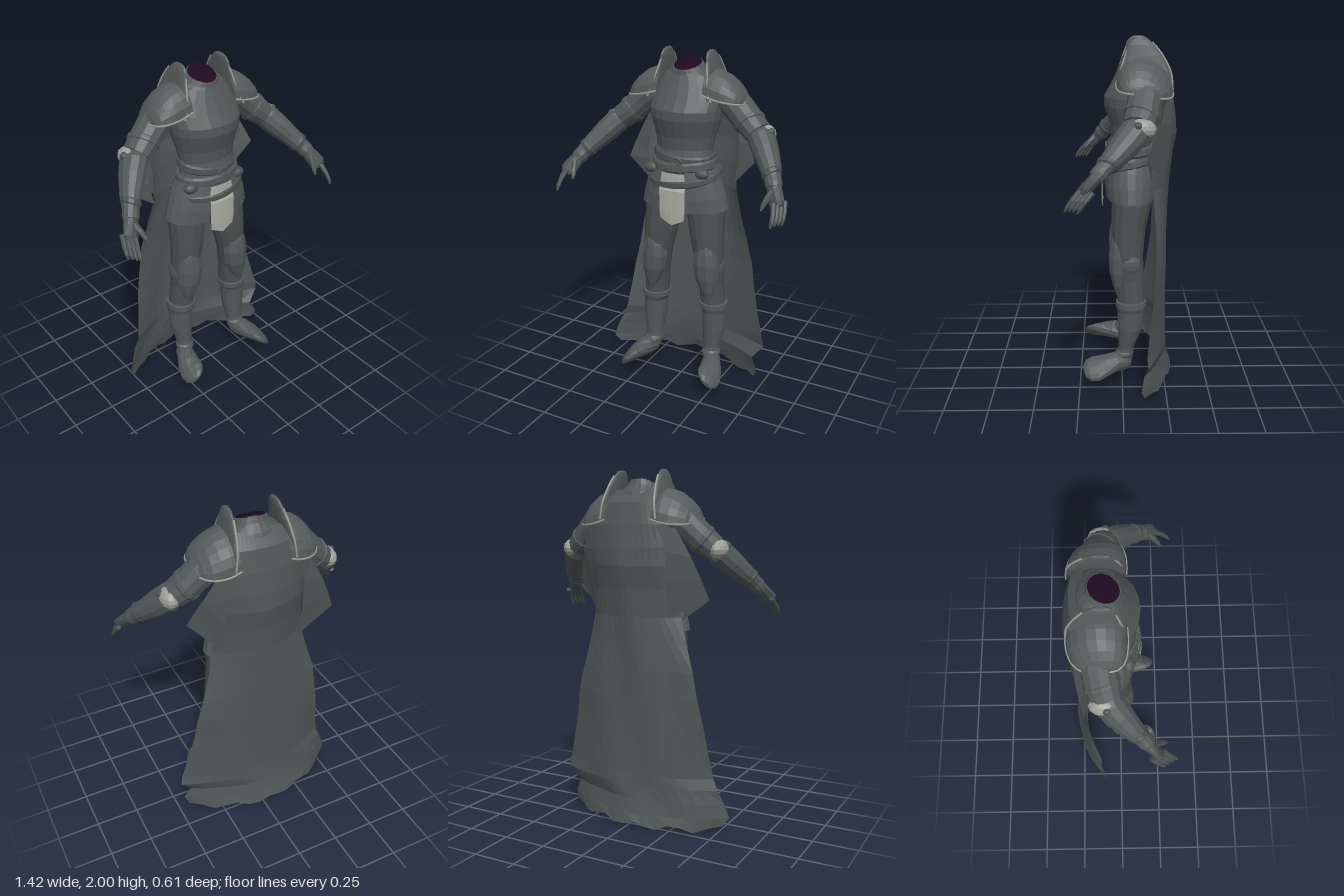
import * as THREE from 'three';

const mat = (name, color, side = THREE.FrontSide) => {
  const m = new THREE.MeshStandardMaterial({ color, side });
  m.name = name;
  return m;
};

// Faceted geometry from a grid of points (rows of equal length)
function gridGeometry(rows) {
  const n = rows[0].length, index = [];
  for (let i = 0; i < rows.length - 1; i++)
    for (let j = 0; j < n - 1; j++) {
      const a = i * n + j, c = a + n;
      index.push(a, c, a + 1, a + 1, c, c + 1);
    }
  const g = new THREE.BufferGeometry().setFromPoints(rows.flat());
  g.setIndex(index);
  const flat = g.toNonIndexed();
  flat.computeVertexNormals();
  return flat;
}

// Skin over elliptical rings [x, y, z, a, b, tilt]; level rings stay horizontal
function loft(rings, { n = 14, level = true } = {}) {
  const P = rings.map(r => new THREE.Vector3(r[0], r[1], r[2]));
  const rows = rings.map((r, i) => {
    const t = P[Math.min(i + 1, P.length - 1)].clone().sub(P[Math.max(i - 1, 0)]).normalize();
    if (level) t.set(0, Math.sign(t.y), 0);
    const u = level ? new THREE.Vector3(1, 0, 0) : new THREE.Vector3(t.y, -t.x, 0).normalize();
    const v = u.clone().cross(t);
    return Array.from({ length: n + 1 }, (_, j) => {
      const q = (j % n) / n * Math.PI * 2;
      const p = P[i].clone().addScaledVector(u, r[3] * Math.cos(q)).addScaledVector(v, (r[4] ?? r[3]) * Math.sin(q));
      p.y += (r[5] ?? 0) * Math.sin(q) * Math.sign(v.z || 1);
      return p;
    });
  });
  rows.unshift(rows[0].map(() => P[0]));
  rows.push(rows[0].map(() => P[P.length - 1]));
  return gridGeometry(rows);
}

// Ellipsoid made of level rings
const blob = (x, y, z, rx, ry, rz) => loft([-.97, -.8, -.4, 0, .4, .8, .97].map(k => {
  const w = Math.sqrt(1 - k * k);
  return [x, y + ry * k, z, rx * w, rz * w];
}), { n: 12 });

const cord = (pts, r) => new THREE.TubeGeometry(
  new THREE.CatmullRomCurve3(pts.map(p => new THREE.Vector3(...p))), 28, r, 5);

export function createModel() {
  const model = new THREE.Group();
  model.name = 'headlessKnight';
  const armour = mat('darkArmour', 0x525757);
  const plate = mat('shoulderPlate', 0x565b5b, THREE.DoubleSide);
  const leather = mat('leather', 0x4a4f4f);
  const cloth = mat('capeCloth', 0x515656, THREE.DoubleSide);
  const silver = mat('silverTrim', 0x9c9d96);
  const linen = mat('paleLinen', 0xaaaba3, THREE.DoubleSide);
  const dark = mat('neckShadow', 0x1e0820);
  const add = (name, geo, m) => {
    const mesh = new THREE.Mesh(geo, m);
    mesh.name = name;
    model.add(mesh);
  };

  // Cuirass and open neck
  add('cuirass', loft([
    [0, 1.24, -.05, .19, .13], [0, 1.38, -.04, .175, .118], [0, 1.46, -.05, .168, .112],
    [0, 1.53, -.055, .18, .125], [0, 1.58, -.06, .195, .145], [0, 1.63, -.06, .208, .16], [0, 1.68, -.062, .212, .162],
    [0, 1.74, -.085, .215, .15], [0, 1.81, -.105, .19, .135], [0, 1.87, -.1, .14, .108, -.01],
    [0, 1.895, -.085, .1, .09, -.025], [0, 1.92, -.08, .082, .082, -.03]], { n: 20 }), armour);
  add('neckOpening', loft([[0, 1.918, -.08, .079, .079, -.03], [0, 1.924, -.08, .075, .075, -.03]], { n: 20 }), dark);

  // Slanted belts, buckle and pouches
  const belt = (y, z, rx, rz, h, tilt, slant) => loft([
    [0, -h, z, rx, rz, tilt], [0, -h * .6, z, rx + .012, rz + .012, tilt],
    [0, h * .6, z, rx + .01, rz + .01, tilt], [0, h, z, rx, rz, tilt]], { n: 20 }).rotateZ(slant).translate(0, y, 0);
  add('waistBelt', belt(1.425, -.045, .172, .118, .025, -.02, -.1), leather);
  add('waistSash', belt(1.37, -.045, .182, .132, .028, -.01, .06), armour);
  add('hipBelt', belt(1.3, -.05, .212, .155, .022, -.035, .1), leather);
  const buckle = new THREE.TorusGeometry(.024, .006, 6, 12);
  buckle.scale(1.3, .8, 1);
  buckle.translate(.015, 1.402, .089);
  add('buckle', buckle, armour);
  for (const x of [-.17, .15]) add('pouch', blob(x, 1.335, .04, .045, .03, .035), leather);

  // Hanging cloth, tucked behind the hip belt and falling between the hip plates
  add('tabard', gridGeometry([[1.335, 0, .07, .104], [1.26, 0, .08, .106], [1.235, 0, .08, .118],
    [1.11, .01, .08, .118], [1.065, .035, .075, .116]].map(
    ([y, dip, w, z]) => [-1, -.5, 0, .5, 1].map(k =>
      new THREE.Vector3(k * w - .003, y - dip * (1 - Math.abs(k)), z - .008 * k * k)))), linen);

  for (const s of [1, -1]) {
    const side = s > 0 ? 'left' : 'right';
    const put = (name, geo, m) => add(side + name, geo, m);
    const flip = rings => rings.map(([x, ...r]) => [x * s, ...r]);
    const limb = (rings, n = 12) => loft(flip(rings), { level: false, n });
    const column = (rings, n = 14) => loft(flip(rings), { n });

    // Hip plates wrapping from front gap to back centre
    put('HipPlate', gridGeometry([[1.34, .2, .14], [1.26, .228, .152], [1.18, .252, .152], [1.1, .27, .142]].map(
      ([y, rx, rz]) => Array.from({ length: 11 }, (_, j) => {
        const q = 1.28 - j / 10 * (1.28 + Math.PI / 2);
        return new THREE.Vector3(s * rx * Math.cos(q), y + .015 * Math.cos(q), -.05 + rz * Math.sin(q));
      }))), plate);

    // Leg
    put('Thigh', column([[.12, 1.25, -.055, .1, .1], [.135, 1.1, -.055, .113, .112], [.15, .95, -.035, .1, .098],
      [.17, .8, -.03, .085, .09], [.18, .66, -.045, .072, .08], [.19, .53, -.05, .075, .08]]), leather);
    put('KneePlate', column([[.19, .56, .02, .012, .015], [.184, .62, .01, .048, .045], [.174, .7, .01, .072, .066],
      [.168, .79, .01, .08, .07], [.168, .86, .01, .07, .06], [.172, .9, .01, .05, .05], [.178, .925, .02, .015, .025]], 10), armour);
    put('KneeWing', blob(s * .235, .755, -.045, .025, .065, .055), armour);
    put('Greave', column([[.19, .53, -.05, .07, .075], [.193, .525, -.05, .086, .088], [.195, .495, -.05, .086, .088],
      [.2, .47, -.05, .073, .08], [.202, .36, -.045, .07, .072], [.198, .24, -.022, .05, .046], [.2, .17, -.01, .05, .048]]), armour);
    put('AnkleCuff', column([[.2, .185, -.01, .05, .048], [.2, .195, -.01, .057, .055], [.2, .21, -.014, .055, .052], [.2, .22, -.016, .045, .045]]), armour);
    put('Boot', limb([[.2, .145, -.045, .035, .028], [.205, .152, -.02, .055, .048], [.225, .152, .04, .058, .058],
      [.25, .142, .1, .048, .07], [.266, .13, .155, .035, .08], [.275, .122, .195, .025, .068], [.28, .117, .222, .012, .035]]), armour);

    // Arm
    put('Sleeve', limb([[.2, 1.78, -.125, .09], [.3, 1.69, -.115, .085, .092], [.37, 1.625, -.1, .08, .092], [.43, 1.575, -.08, .072, .085]]), armour);
    put('Vambrace', limb([[.43, 1.575, -.08, .06, .07], [.455, 1.553, -.065, .073, .084], [.5, 1.5, -.015, .07, .078],
      [.555, 1.435, .05, .058, .062], [.593, 1.385, .105, .045], [.605, 1.365, .122, .047], [.615, 1.35, .138, .04]]), armour);
    const band = (x, y, z, a, b) => limb([[x - .012, y + .012, z - .006, a, b], [x - .007, y + .007, z - .003, a + .008, b + .008],
      [x + .007, y - .007, z + .003, a + .008, b + .008], [x + .012, y - .012, z + .006, a, b]]);
    put('SleeveBand', band(.37, 1.625, -.1, .078, .09), armour);
    put('WristBand', band(.575, 1.41, .078, .049, .051), leather);

    // Pale elbow cup with a dark stud
    put('ElbowCup', blob(s * .468, 1.568, -.092, .054, .055, .078), silver);
    put('ElbowStud', blob(s * .505, 1.59, -.075, .022, .022, .022), leather);

    // Gauntlet
    put('Palm', limb([[.612, 1.355, .132, .04, .036], [.63, 1.325, .16, .046, .03], [.652, 1.29, .19, .046, .024], [.66, 1.275, .2, .03, .018]], 10), leather);
    for (let f = 0; f < 4; f++) {
      const k = f / 3, x = .642 + .038 * k, z = .225 - .065 * k;
      put('Finger' + (f + 1), limb([[x, 1.295, z - .01, .014], [x + .014, 1.25, z + .03, .013],
        [x + .018, 1.215, z + .055, .011], [x + .016, 1.19 + .01 * f * (1 - k), z + .068, .005]], 7), leather);
    }
    put('Thumb', limb([[.615, 1.34, .165, .02], [.598, 1.305, .2, .017], [.588, 1.275, .225, .013], [.584, 1.255, .24, .005]], 7), leather);

    // Shoulder dome from arched slices [x, z centre, z radius, base y, height]
    const slices = [[.14, -.12, .15, 1.75, .15], [.19, -.12, .153, 1.735, .158], [.24, -.117, .148, 1.725, .15],
      [.285, -.112, .135, 1.72, .122], [.32, -.105, .112, 1.718, .085], [.342, -.1, .078, 1.72, .045], [.35, -.098, .03, 1.722, .012]];
    const rows = slices.map(([x, zc, rz, y, h]) => Array.from({ length: 11 }, (_, j) => {
      const q = j / 10 * Math.PI;
      return new THREE.Vector3(s * x, y + h * Math.sin(q) + .15 * rz * Math.cos(q), zc + rz * Math.cos(q));
    }));
    put('ShoulderPlate', gridGeometry(rows), plate);
    const front = rows.map(r => r[0].toArray()), back = rows.map(r => r[10].toArray());
    put('ShoulderRim', cord([...front, ...back.reverse()], .006), silver);

    // Upright neck guard
    put('NeckGuard', column([[.17, 1.74, -.12, .022, .15], [.158, 1.83, -.12, .022, .136], [.146, 1.91, -.115, .02, .1],
      [.138, 1.965, -.1, .017, .072], [.134, 1.99, -.095, .013, .048], [.133, 2, -.095, .006, .025]], 16), plate);
    const trim = pts => cord(pts.map(([x, y, z]) => [s * x, y, z]), .006);
    put('NeckGuardFrontTrim', trim([[.195, 1.74, .035], [.165, 1.8, .018], [.155, 1.87, -.003], [.14, 1.94, -.028]]), silver);
    put('NeckGuardBackTrim', trim([[.172, 1.73, -.272], [.16, 1.82, -.262], [.147, 1.91, -.218], [.138, 1.965, -.175]]), silver);
  }

  // Long cape: rows [y, right edge, left edge, z at middle, z at edges]
  const hang = [[1.89, -.12, .12, -.185, -.175], [1.82, -.17, .17, -.255, -.225], [1.7, -.23, .23, -.283, -.235],
    [1.58, -.26, .26, -.3, -.22], [1.48, -.275, .27, -.307, -.2], [1.35, -.27, .265, -.285, -.18],
    [1.2, -.28, .275, -.27, -.165], [1.05, -.32, .3, -.264, -.18], [.9, -.365, .34, -.262, -.19],
    [.75, -.39, .38, -.26, -.185], [.6, -.42, .405, -.258, -.17], [.45, -.44, .44, -.257, -.15],
    [.3, -.465, .48, -.258, -.13], [.24, -.49, .49, -.26, -.135], [.16, -.525, .425, -.264, -.115], [.08, -.55, .465, -.278, -.1]];
  const cols = 14;
  const capeRows = hang.map(([y, xl, xr, zc, ze], i) => Array.from({ length: cols + 1 }, (_, j) => {
    const k = j / cols, u = 2 * k - 1, ripple = Math.min(1, i / 8) * .005 * Math.sin(j * 1.1 + i * .6);
    return new THREE.Vector3(xl + (xr - xl) * k, y, zc + (ze - zc) * Math.abs(u) ** 2.1 + ripple);
  }));
  // Torn hem
  capeRows.push(capeRows[capeRows.length - 1].map((p, j) => new THREE.Vector3(
    p.x * .94, .018 + .018 * Math.sin(j * 1.9 + 1), p.z - .018)));
  add('cape', gridGeometry(capeRows), cloth);

  // Blown side folds: outer edge doubling back under itself
  const fold = (name, inner, outer, under) => add(name, gridGeometry(
    [inner, outer, under].map(r => r.map(p => new THREE.Vector3(...p)))), cloth);
  fold('rightCapeFold',
    [[-.19, 1.7, -.275], [-.23, 1.56, -.265], [-.23, 1.4, -.255], [-.23, 1.2, -.23]],
    [[-.28, 1.68, -.24], [-.365, 1.53, -.23], [-.42, 1.41, -.215], [-.46, 1.305, -.2]],
    [[-.26, 1.62, -.21], [-.3, 1.46, -.18], [-.31, 1.32, -.165], [-.28, 1.18, -.16]]);
  fold('leftCapeFold',
    [[.19, 1.7, -.275], [.23, 1.57, -.265], [.23, 1.42, -.255], [.23, 1.24, -.23]],
    [[.27, 1.68, -.23], [.325, 1.57, -.2], [.36, 1.48, -.16], [.395, 1.39, -.125]],
    [[.25, 1.6, -.21], [.28, 1.48, -.18], [.28, 1.37, -.165], [.255, 1.24, -.16]]);

  return model;
}
